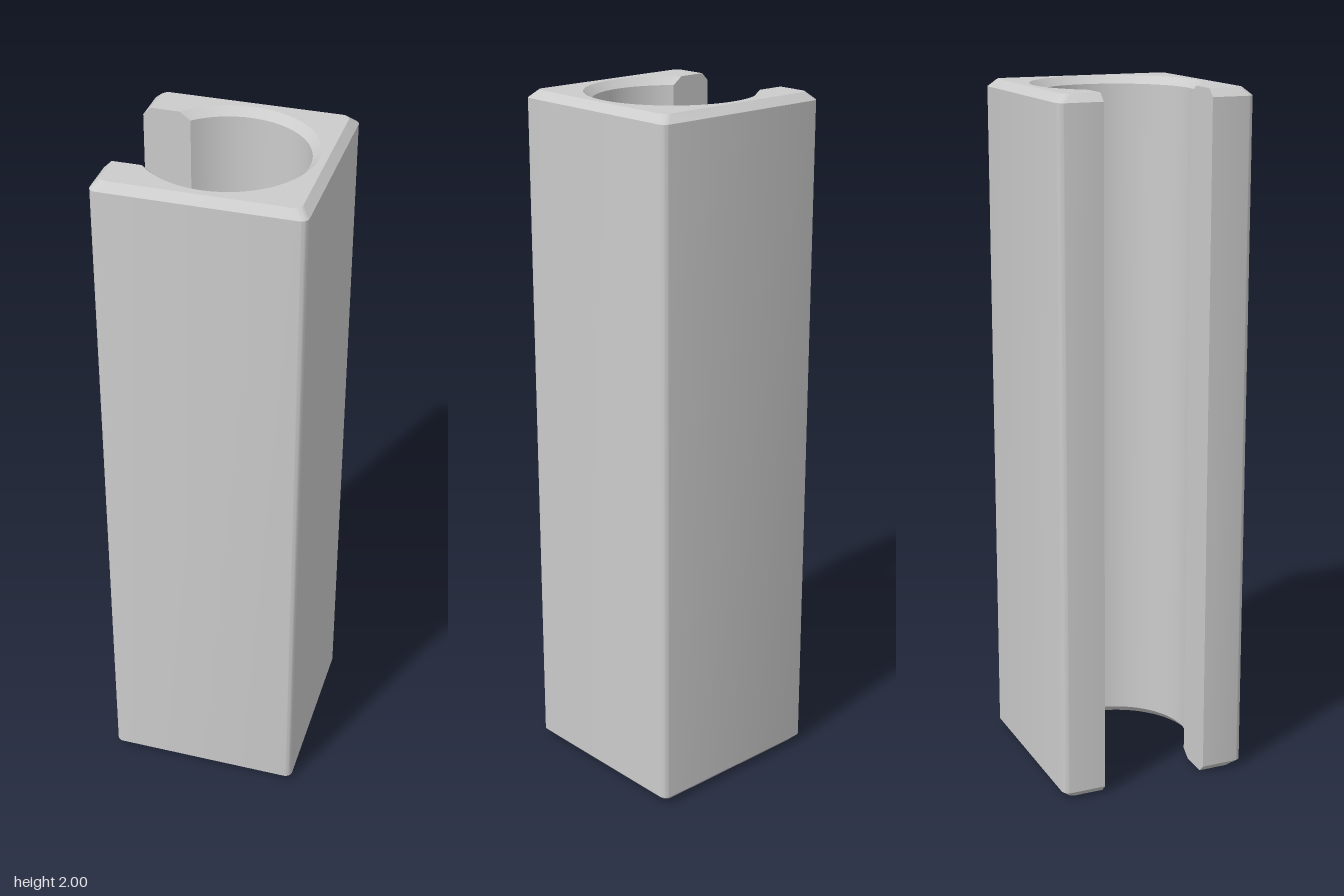
import * as THREE from 'three';
import { toCreasedNormals } from 'three/addons/utils/BufferGeometryUtils.js';

const HEIGHT = 2, HALF = 0.284, CORNER = 0.022, CHAMFER = 0.022;
const BORE = 0.218, SLOT = 0.157; // bore radius, half width of the slot
const CORNER_STEPS = 8, BORE_STEPS = 80;

// C-shaped cross-section, counter-clockwise from above: x and -z.
// The inset shrinks the outside and widens the bore.
function section(inset) {
  const h = HALF - inset, c = h - CORNER, r = BORE + inset;
  const points = [new THREE.Vector2(-h, -SLOT)];
  [[-1, -1], [1, -1], [1, 1], [-1, 1]].forEach(([sx, sv], k) => {
    for (let i = 0; i <= CORNER_STEPS; i++) {
      const a = Math.PI + (k + i / CORNER_STEPS) * Math.PI / 2;
      points.push(new THREE.Vector2(sx * c + CORNER * Math.cos(a), sv * c + CORNER * Math.sin(a)));
    }
  });
  points.push(new THREE.Vector2(-h, SLOT));
  const end = Math.PI - Math.asin(SLOT / r);
  for (let i = 0; i <= BORE_STEPS; i++) {
    const a = end * (1 - 2 * i / BORE_STEPS);
    points.push(new THREE.Vector2(r * Math.cos(a), r * Math.sin(a)));
  }
  return points;
}

function sleeveGeometry() {
  const levels = [[0, CHAMFER], [CHAMFER, 0], [HEIGHT - CHAMFER, 0], [HEIGHT, CHAMFER]]
    .map(([y, inset]) => ({ y, points: section(inset) }));
  const positions = [];
  const put = (level, i) => positions.push(level.points[i].x, level.y, -level.points[i].y);

  // Walls between neighbouring levels
  for (let k = 0; k < levels.length - 1; k++) {
    const low = levels[k], high = levels[k + 1], n = low.points.length;
    for (let i = 0; i < n; i++) {
      const j = (i + 1) % n;
      put(low, i); put(low, j); put(high, j);
      put(low, i); put(high, j); put(high, i);
    }
  }

  // End faces
  const bottom = levels[0], top = levels[levels.length - 1];
  for (const [a, b, c] of THREE.ShapeUtils.triangulateShape(top.points.slice(), [])) {
    put(top, a); put(top, b); put(top, c);
    put(bottom, a); put(bottom, c); put(bottom, b);
  }

  const geometry = new THREE.BufferGeometry();
  geometry.setAttribute('position', new THREE.Float32BufferAttribute(positions, 3));
  return toCreasedNormals(geometry, 0.5);
}

export function createModel() {
  const group = new THREE.Group();
  group.name = 'slottedSquareSleeve';
  const sleeve = new THREE.Mesh(sleeveGeometry(), new THREE.MeshStandardMaterial({ color: 0xcccccc }));
  sleeve.name = 'sleeveBody';
  group.add(sleeve);
  return group;
}
